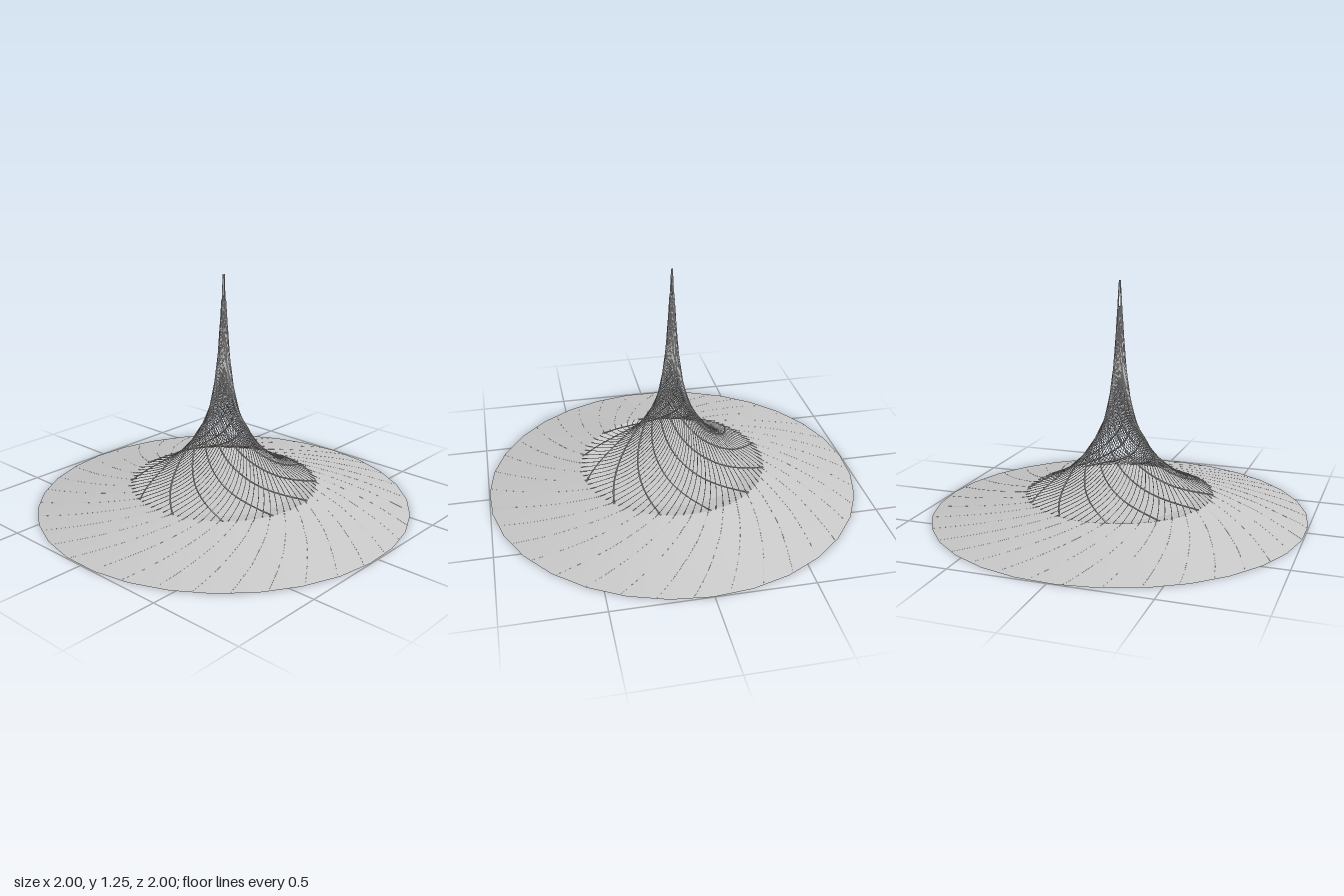
import * as THREE from 'three';
import { mergeGeometries } from 'three/addons/utils/BufferGeometryUtils.js';

const SIDES = 31, STEP = (Math.PI * 2) / SIDES, CORNER = 0.06;
const RIM = 0.5, RIM_Y = 0.113;

// Flared spire outline: [height, radius]
const PROFILE = new THREE.CatmullRomCurve3([
  [0.113, 0.5], [0.2, 0.32], [0.3, 0.205], [0.4, 0.135], [0.5, 0.086], [0.6, 0.06],
  [0.8, 0.031], [1.0, 0.016], [1.12, 0.009], [1.245, 0.003],
].map(([y, r]) => new THREE.Vector3(r, y, 0)));

// Point on a spiral of the given turn, where the angle grows as the radius shrinks
function spiral(r, y, start, turn) {
  const a = start + turn * Math.log(RIM / r);
  return new THREE.Vector3(r * Math.cos(a), y, r * Math.sin(a));
}

// The same point drawn in onto the flat sides of the skirt
function skirtPoint(t, start, turn) {
  const p = spiral(1 - 0.5 * t, RIM_Y * t - 0.0008, start, turn);
  const a = Math.atan2(p.z, p.x) - CORNER + Math.PI * 4;
  const scale = Math.cos(STEP / 2) / Math.cos((a % STEP) - STEP / 2);
  return p.set(p.x * scale, p.y, p.z * scale);
}

// One thin strand climbing the spire, optionally starting out on the skirt
function strand(start, turn, thickness, end, onSkirt) {
  const points = [];
  if (onSkirt) {
    for (let i = 0; i < 14; i++) points.push(skirtPoint(0.012 + (i / 14) * 0.988, start, turn));
  }
  for (let i = 0; i <= 24; i++) {
    const p = PROFILE.getPoint((i / 24) * end);
    points.push(spiral(p.x, p.y, start, turn));
  }
  return new THREE.TubeGeometry(new THREE.CatmullRomCurve3(points), onSkirt ? 64 : 42, thickness, 4);
}

export function createModel() {
  const group = new THREE.Group();
  const grey = new THREE.MeshStandardMaterial({ color: 0xc8c8c8, side: THREE.DoubleSide });
  grey.name = 'lightGrey';

  const add = (name, geometry) => {
    const mesh = new THREE.Mesh(geometry, grey);
    mesh.name = name;
    group.add(mesh);
  };

  // Sloping skirt
  const skirt = new THREE.CylinderGeometry(RIM, 1, RIM_Y, SIDES, 1, true, Math.PI / 2 - CORNER);
  add('skirt', skirt.translate(0, RIM_Y / 2, 0));

  // Shallow dish closing the middle
  const dish = new THREE.CylinderGeometry(RIM, 0.385, 0.025, SIDES, 1, true, Math.PI / 2 - CORNER);
  add('dishWall', dish.translate(0, RIM_Y - 0.0125, 0));
  const floor = new THREE.CircleGeometry(0.385, SIDES, -CORNER).rotateX(-Math.PI / 2);
  add('dishFloor', floor.translate(0, RIM_Y - 0.025, 0));

  // Fine strands, every second one running out across the skirt
  const fine = [];
  for (let i = 0; i < 72; i++) {
    const end = i % 18 === 0 ? 1 : 0.76 + 0.04 * (i % 4);
    fine.push(strand((i / 72) * Math.PI * 2, -0.65, 0.0017, end, i % 2 === 0));
  }
  add('fineStrands', mergeGeometries(fine));

  // Heavy strands winding the other way
  const heavy = [];
  for (let i = 0; i < 12; i++) {
    const end = i % 6 === 0 ? 1 : 0.88;
    heavy.push(strand(((i + 0.6) / 12) * Math.PI * 2, 1, 0.004, end, false));
  }
  add('heavyStrands', mergeGeometries(heavy));

  return group;
}
